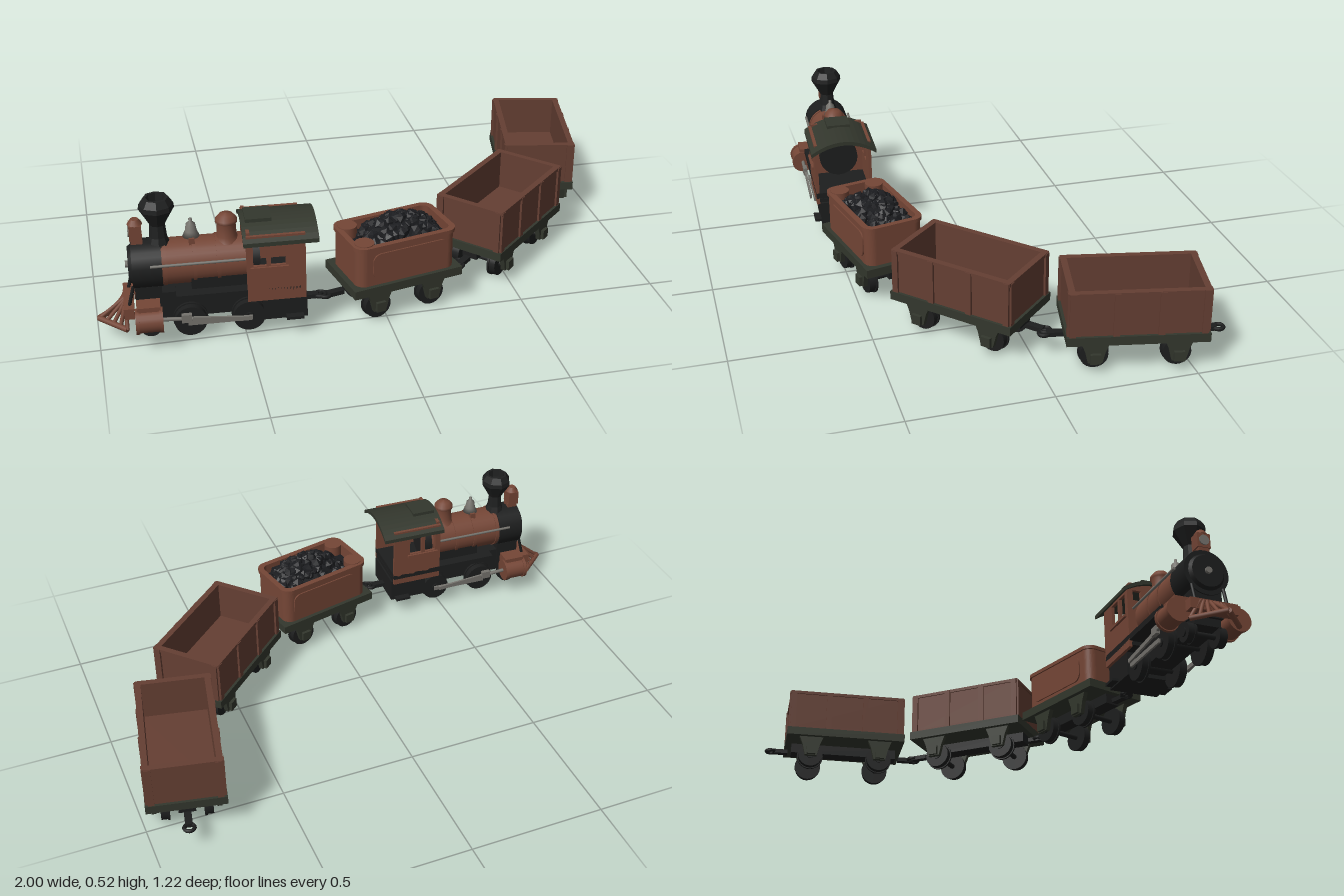
import * as THREE from 'three';

const mat = (name, color, opts = {}) => Object.assign(new THREE.MeshStandardMaterial({ color, ...opts }), { name });
const rust = mat('rust red paint', 0x754636);
const wood = mat('brown wagon boards', 0x653f33);
const black = mat('black iron', 0x1d1e1e);
const green = mat('dark green iron', 0x33372d);
const steel = mat('dull steel', 0x75736d);
const coalMat = mat('coal', 0x1b1c1f, { flatShading: true });
const facet = mat('black chimney iron', 0x1f2020, { flatShading: true });

function add(parent, name, geo, material, x = 0, y = 0, z = 0, rx = 0, ry = 0, rz = 0) {
  const m = new THREE.Mesh(geo, material);
  m.name = name;
  m.position.set(x, y, z);
  m.rotation.set(rx, ry, rz);
  parent.add(m);
  return m;
}
const box = (w, h, d) => new THREE.BoxGeometry(w, h, d);
const cyl = (a, b, h, n = 20) => new THREE.CylinderGeometry(a, b, h, n);
const lathe = (pts, n = 20) => new THREE.LatheGeometry(pts.map(p => new THREE.Vector2(...p)), n);
const poly = pts => new THREE.Shape(pts.map(p => new THREE.Vector2(...p)));
const rect = (x0, y0, x1, y1) => poly([[x0, y0], [x1, y0], [x1, y1], [x0, y1]]);
const extrude = (shape, depth) => new THREE.ExtrudeGeometry(shape, { depth, bevelEnabled: false, curveSegments: 6 });
const SIDES = [-1, 1];

function roundRect(w, h, r) {
  const s = new THREE.Shape(), a = w / 2 - r, b = h / 2 - r;
  s.absarc(a, b, r, 0, Math.PI / 2);
  s.absarc(-a, b, r, Math.PI / 2, Math.PI);
  s.absarc(-a, -b, r, Math.PI, Math.PI * 1.5);
  s.absarc(a, -b, r, Math.PI * 1.5, Math.PI * 2);
  return s;
}

// Bar between two points
function rod(parent, name, a, b, r, material) {
  const p = new THREE.Vector3(...a), d = new THREE.Vector3(...b).sub(p);
  const m = add(parent, name, cyl(r, r, d.length(), 8), material);
  m.position.copy(p).addScaledVector(d, 0.5);
  m.quaternion.setFromUnitVectors(new THREE.Vector3(0, 1, 0), d.normalize());
}

// Two flanged wheels on an axle
function wheelset(parent, x, y, r, halfGauge) {
  add(parent, 'axle', cyl(0.01, 0.01, halfGauge * 2, 10), black, x, y, 0, Math.PI / 2);
  for (const s of SIDES) {
    add(parent, 'wheel', cyl(r * 0.92, r * 0.92, 0.026, 24), black, x, y, s * halfGauge, Math.PI / 2);
    add(parent, 'wheelFlange', cyl(r, r, 0.008, 24), black, x, y, s * (halfGauge - 0.014), Math.PI / 2);
    add(parent, 'wheelHub', cyl(0.016, 0.016, 0.036, 12), black, x, y, s * halfGauge, Math.PI / 2);
  }
}

function coupler(parent, x, dir) {
  add(parent, 'couplerBar', box(0.06, 0.016, 0.026), black, x + dir * 0.02, 0.088, 0);
  add(parent, 'couplerRing', new THREE.TorusGeometry(0.018, 0.007, 6, 14), black, x + dir * 0.058, 0.088, 0, Math.PI / 2);
}

// Platform, axle guards, wheels and couplers shared by tender and wagons
function undercarriage(parent, len, wid, axle) {
  add(parent, 'platform', box(len, 0.032, wid), green, 0, 0.134, 0);
  add(parent, 'centreSill', box(len * 0.9, 0.04, 0.06), black, 0, 0.1, 0);
  const guard = poly([[-0.05, 0.122], [-0.035, 0.085], [-0.024, 0.04], [0.024, 0.04], [0.035, 0.085], [0.05, 0.122]]);
  for (const sx of SIDES) {
    wheelset(parent, sx * axle, 0.053, 0.053, 0.078);
    coupler(parent, sx * len / 2, sx);
    for (const s of SIDES) {
      add(parent, 'axleGuard', extrude(guard, 0.018), green, sx * axle, 0, s * (wid / 2 - 0.026) - 0.009);
      add(parent, 'axleBox', box(0.036, 0.036, 0.014), green, sx * axle, 0.06, s * (wid / 2 - 0.012));
    }
  }
}

function wagon() {
  const g = new THREE.Group(), L = 0.48, W = 0.28, l = 0.46, w = 0.26, y = 0.23, h = 0.16;
  undercarriage(g, L, W, 0.14);
  add(g, 'wagonFloor', box(l, 0.012, w), wood, 0, 0.156, 0);
  for (const s of SIDES) {
    add(g, 'sideWall', box(l, h, 0.016), wood, 0, y, s * (w / 2 - 0.008));
    add(g, 'endWall', box(0.016, h, w), wood, s * (l / 2 - 0.008), y, 0);
    add(g, 'sideRim', box(l + 0.008, 0.012, 0.022), wood, 0, 0.306, s * (w / 2 - 0.006));
    add(g, 'endRim', box(0.022, 0.012, w), wood, s * (l / 2 - 0.006), 0.306, 0);
    for (const t of [-1, -0.34, 0.34, 1])
      add(g, 'sidePost', box(0.022, h, 0.012), wood, t * (l / 2 - 0.01), y, s * (w / 2 + 0.002));
    for (const t of [-1, 1])
      add(g, 'endPost', box(0.012, h, 0.022), wood, s * (l / 2 + 0.002), y, t * (w / 2 - 0.012));
  }
  return g;
}

function tender() {
  const g = new THREE.Group();
  undercarriage(g, 0.42, 0.25, 0.105);
  // Tank wall with rounded corners
  const wall = roundRect(0.38, 0.22, 0.035);
  wall.holes.push(roundRect(0.35, 0.19, 0.025));
  add(g, 'tenderWall', extrude(wall, 0.14), rust, 0, 0.15, 0, -Math.PI / 2);
  const rim = roundRect(0.392, 0.232, 0.04);
  rim.holes.push(roundRect(0.35, 0.19, 0.025));
  add(g, 'tenderRim', extrude(rim, 0.014), rust, 0, 0.288, 0, -Math.PI / 2);
  for (const s of SIDES) {
    add(g, 'sidePanel', extrude(roundRect(0.29, 0.1, 0.03), 0.006), rust, 0.01, 0.222, s > 0 ? 0.109 : -0.115);
    add(g, 'frontLocker', cyl(0.035, 0.035, 0.14, 16), rust, -0.15, 0.235, s * 0.07);
  }
  add(g, 'coalBed', box(0.34, 0.11, 0.18), coalMat, 0.005, 0.21, 0);
  // Heap of coal lumps
  let seed = 7;
  const rnd = () => (seed = (seed * 16807) % 2147483647) / 2147483647;
  for (let i = 0; i < 110; i++) {
    const u = rnd() * 2 - 1, v = rnd() * 2 - 1;
    const top = 0.265 + 0.065 * Math.max(0, 1 - u * u) * (1 - 0.7 * v * v);
    add(g, 'coalLump', new THREE.IcosahedronGeometry(0.014 + rnd() * 0.012, 0), coalMat,
      0.02 + u * 0.14, top, v * 0.08, rnd() * 3, rnd() * 3, rnd() * 3);
  }
  add(g, 'coalCore', new THREE.SphereGeometry(1, 12, 8), coalMat, 0.02, 0.255, 0).scale.set(0.15, 0.072, 0.09);
  return g;
}

function locomotive() {
  const g = new THREE.Group(), Q = Math.PI / 2;
  // Frame and running boards
  add(g, 'frame', box(0.55, 0.1, 0.1), black, 0.06, 0.13, 0);
  add(g, 'runningBoard', box(0.44, 0.022, 0.22), black, 0.13, 0.185, 0);
  add(g, 'rearFrame', box(0.15, 0.09, 0.19), black, 0.28, 0.11, 0);
  add(g, 'smokeboxSaddle', box(0.09, 0.1, 0.11), black, -0.18, 0.16, 0);
  coupler(g, 0.355, 1);
  // Boiler with bands
  add(g, 'boiler', cyl(0.08, 0.08, 0.3, 28), rust, 0.02, 0.275, 0, 0, 0, Q);
  add(g, 'firebox', box(0.19, 0.08, 0.14), black, 0.06, 0.215, 0);
  add(g, 'smokebox', cyl(0.085, 0.085, 0.1, 28), black, -0.18, 0.275, 0, 0, 0, Q);
  add(g, 'smokeboxDoor', cyl(0.06, 0.07, 0.014, 24), black, -0.235, 0.275, 0, 0, 0, Q);
  add(g, 'doorKnob', cyl(0.012, 0.012, 0.012, 12), steel, -0.246, 0.275, 0, 0, 0, Q);
  for (const x of [-0.12, -0.02, 0.06])
    add(g, 'boilerBand', cyl(0.083, 0.083, 0.012, 28), rust, x, 0.275, 0, 0, 0, Q);
  // Chimney, headlamp, bell and dome
  add(g, 'chimney', lathe([[0, 0.345], [0.04, 0.345], [0.03, 0.375], [0.026, 0.42], [0.036, 0.438], [0.06, 0.48],
    [0.058, 0.497], [0.043, 0.52], [0.033, 0.52], [0.03, 0.49], [0, 0.49]], 8), facet, -0.135, 0, 0);
  add(g, 'lampBracket', box(0.04, 0.025, 0.04), rust, -0.208, 0.362, 0);
  add(g, 'headlamp', box(0.042, 0.055, 0.05), rust, -0.21, 0.4, 0);
  add(g, 'lampCap', cyl(0.014, 0.026, 0.018, 12), rust, -0.21, 0.436, 0);
  add(g, 'lampLens', cyl(0.019, 0.019, 0.006, 16), steel, -0.232, 0.4, 0, 0, 0, Q);
  add(g, 'bell', lathe([[0, 0.365], [0.029, 0.365], [0.02, 0.385], [0.016, 0.41], [0.006, 0.42], [0.006, 0.43], [0, 0.432]]), steel, -0.025, 0, 0);
  add(g, 'bellStand', box(0.02, 0.03, 0.07), rust, -0.025, 0.355, 0);
  add(g, 'sandDome', lathe([[0.046, 0.34], [0.034, 0.36], [0.032, 0.405], [0.038, 0.41], [0.037, 0.42], [0.024, 0.436], [0, 0.442]]), rust, 0.095, 0, 0);

  // Cab walls with window openings
  const side = rect(0.15, 0.15, 0.35, 0.4);
  side.holes.push(rect(0.172, 0.285, 0.217, 0.368), rect(0.232, 0.285, 0.282, 0.368));
  for (const s of SIDES) {
    add(g, 'cabSide', extrude(side, 0.012), rust, 0, 0, s > 0 ? 0.098 : -0.11);
    add(g, 'cabSill', box(0.13, 0.01, 0.02), rust, 0.227, 0.278, s * 0.108);
    add(g, 'cabStep', box(0.06, 0.01, 0.04), black, 0.31, 0.075, s * 0.1);
  }
  const front = rect(-0.1, 0.18, 0.1, 0.41);
  for (const s of SIDES) front.holes.push(rect(s * 0.07 - 0.016, 0.34, s * 0.07 + 0.016, 0.38));
  add(g, 'cabFront', extrude(front, 0.012), rust, 0.152, 0, 0, 0, Q);
  add(g, 'cabFloor', box(0.2, 0.015, 0.2), black, 0.25, 0.165, 0);
  add(g, 'boilerBackhead', cyl(0.075, 0.075, 0.04, 24), black, 0.18, 0.275, 0, 0, 0, Q);
  // Arched roof
  const arc = [];
  for (let i = 0; i <= 12; i++) { const t = i / 6 - 1; arc.push([t * 0.125, 0.425 - 0.042 * t * t]); }
  const under = arc.map(([z, y]) => [z, y - 0.015]).reverse();
  add(g, 'cabRoof', extrude(poly([...under.reverse(), ...arc.reverse()]), 0.255), green, 0.14, 0, 0, 0, Q);
  add(g, 'roofHatch', box(0.09, 0.014, 0.09), green, 0.2, 0.425, 0);

  // Driving wheels, cylinders and rods
  for (const x of [-0.045, 0.155]) wheelset(g, x, 0.08, 0.06, 0.075);
  wheelset(g, -0.18, 0.06, 0.038, 0.06);
  for (const s of SIDES) {
    const z = s * 0.115;
    add(g, 'steamCylinder', cyl(0.04, 0.04, 0.085, 20), rust, -0.185, 0.115, z, 0, 0, Q);
    add(g, 'cylinderCap', cyl(0.044, 0.044, 0.012, 20), rust, -0.225, 0.115, z, 0, 0, Q);
    add(g, 'cylinderCap', cyl(0.044, 0.044, 0.012, 20), rust, -0.145, 0.115, z, 0, 0, Q);
    add(g, 'valveChest', box(0.08, 0.04, 0.06), rust, -0.185, 0.15, s * 0.095);
    rod(g, 'pistonRod', [-0.14, 0.115, z], [-0.04, 0.108, z], 0.007, steel);
    add(g, 'crosshead', box(0.035, 0.03, 0.016), steel, -0.06, 0.112, z);
    add(g, 'connectingRod', box(0.2, 0.016, 0.008), steel, 0.05, 0.098, z, 0, 0, -0.09);
    add(g, 'couplingRod', box(0.22, 0.016, 0.008), steel, 0.055, 0.082, s * 0.1);
    rod(g, 'handrail', [-0.17, 0.305, s * 0.088], [0.15, 0.305, s * 0.088], 0.005, steel);
    rod(g, 'boardStay', [-0.23, 0.22, s * 0.06], [-0.25, 0.14, s * 0.06], 0.006, black);
  }

  // Cowcatcher with fanned slats
  add(g, 'bufferBeam', box(0.035, 0.04, 0.18), rust, -0.25, 0.13, 0);
  for (const s of SIDES) {
    rod(g, 'cowcatcherBase', [-0.355, 0.072, 0], [-0.26, 0.072, s * 0.092], 0.01, rust);
    for (let i = 0; i <= 4; i++) {
      const t = i / 4;
      rod(g, 'cowcatcherSlat', [-0.353 + t * 0.093, 0.072, s * t * 0.092], [-0.262, 0.145, s * t * 0.05], 0.007, rust);
    }
  }
  return g;
}

export function createModel() {
  const train = new THREE.Group();
  train.name = 'train';
  // Vehicles placed along the curve
  const place = (name, g, x, z, a) => {
    g.name = name;
    g.position.set(x, 0, z);
    g.rotation.y = a;
    train.add(g);
  };
  place('locomotive', locomotive(), -0.64, 0.425, -0.05);
  place('tender', tender(), 0.05, 0.395, 0.22);
  place('frontWagon', wagon(), 0.52, 0.155, 0.755);
  place('rearWagon', wagon(), 0.815, -0.33, 1.366);
  return train;
}
